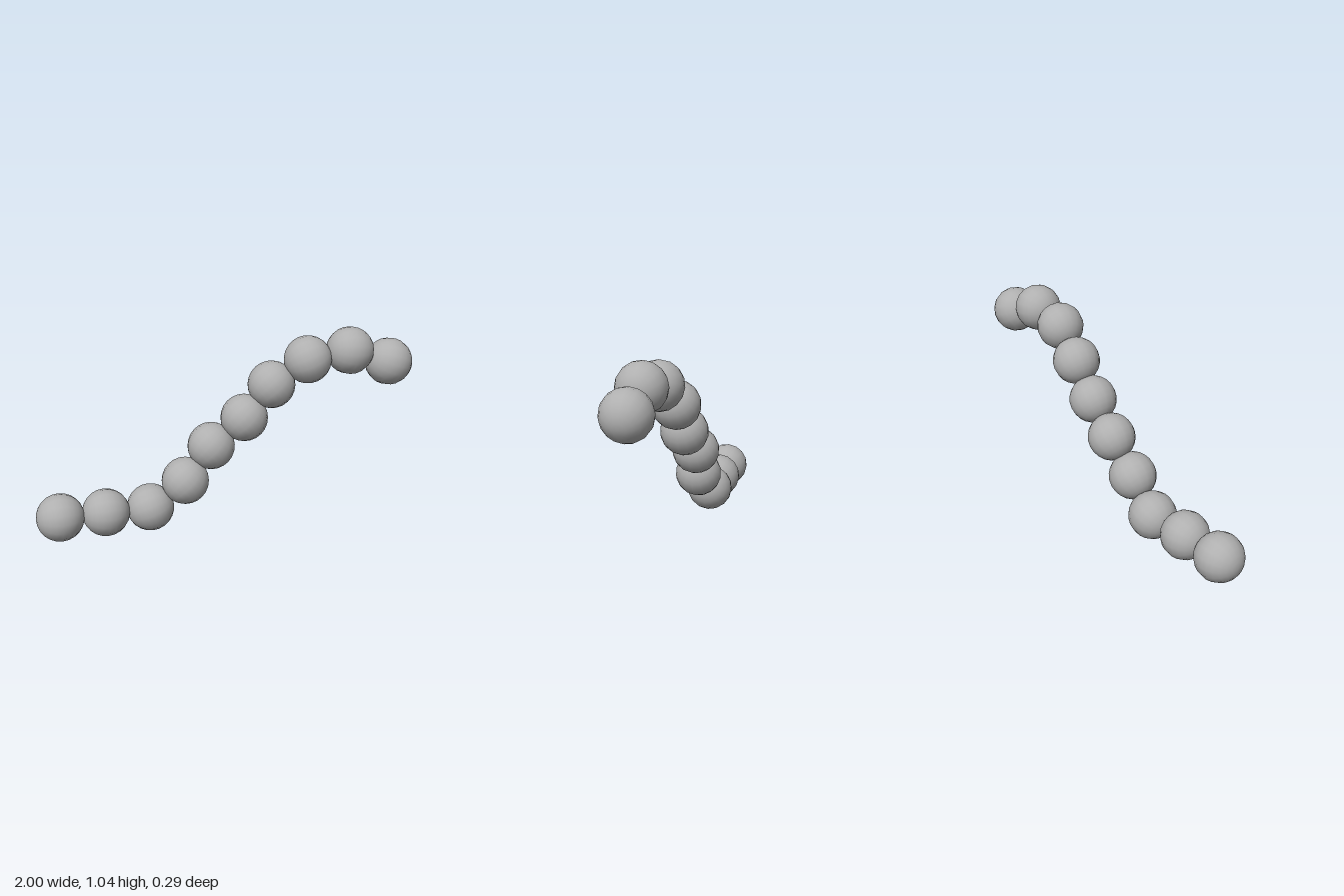
import * as THREE from 'three';

// Centres of the beads, from the low end to the raised end
const centres = [
  [-0.875, 0.128, 0.02], [-0.64, 0.128, 0.007], [-0.405, 0.128, -0.01],
  [-0.22, 0.267, 0.002], [-0.075, 0.439, -0.027], [0.1, 0.584, -0.02],
  [0.245, 0.753, -0.024], [0.43, 0.883, 0], [0.655, 0.919, 0.003],
  [0.876, 0.844, -0.009],
].map((p) => new THREE.Vector3(...p));

export function createModel() {
  const group = new THREE.Group();
  group.name = 'beadChain';
  const grey = new THREE.MeshStandardMaterial({ color: 0xb0b0b0 });
  grey.name = 'grey';
  const bead = new THREE.SphereGeometry(0.124, 16, 12);
  const up = new THREE.Vector3(0, 1, 0);

  // Overlapping beads, each with its axis along the chain
  centres.forEach((c, i) => {
    const mesh = new THREE.Mesh(bead, grey);
    mesh.name = `bead${i + 1}`;
    mesh.position.copy(c);
    const before = centres[Math.max(i - 1, 0)];
    const after = centres[Math.min(i + 1, centres.length - 1)];
    mesh.quaternion.setFromUnitVectors(up, after.clone().sub(before).normalize());
    group.add(mesh);
  });
  return group;
}
